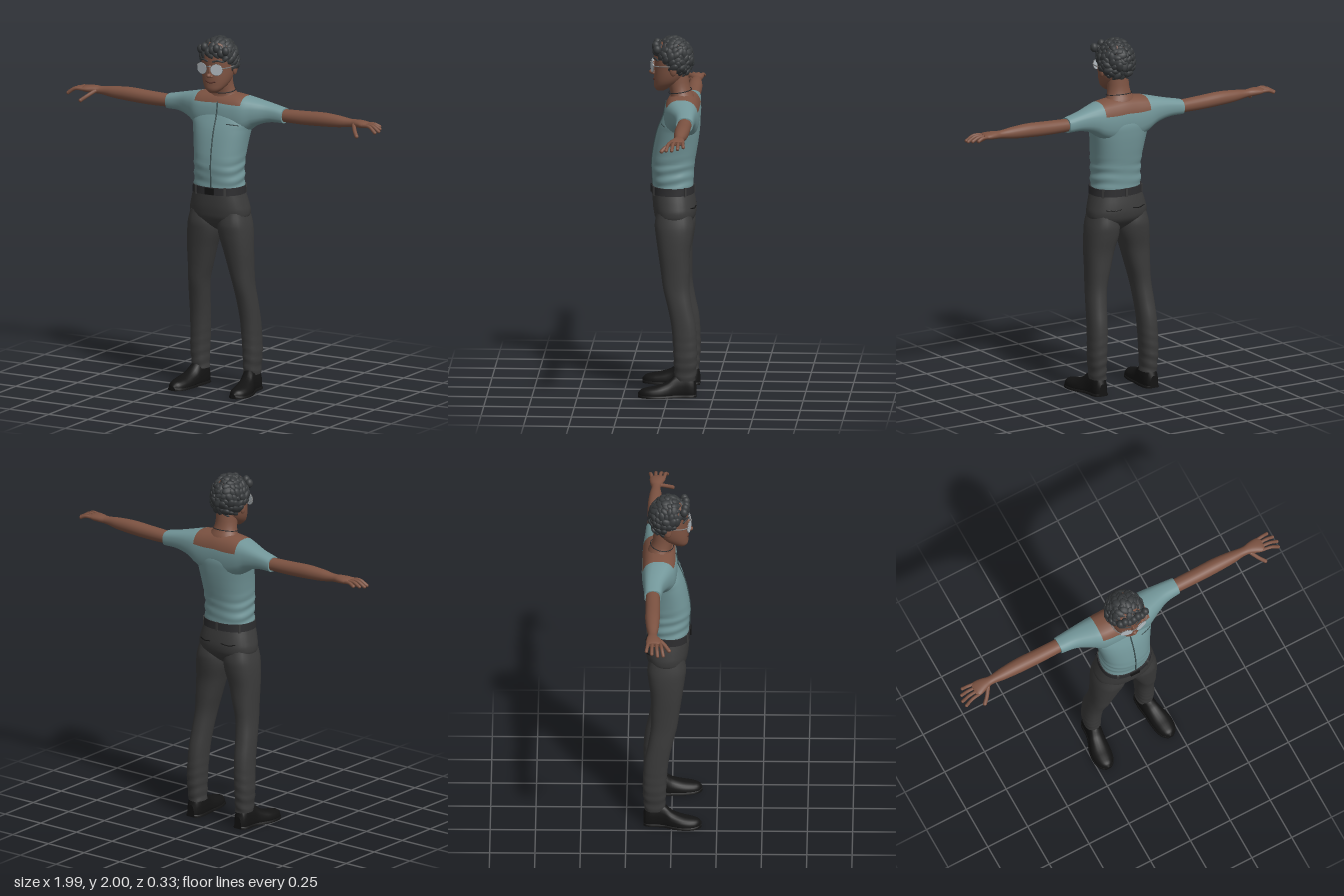
import * as THREE from 'three';
import { mergeGeometries } from 'three/addons/utils/BufferGeometryUtils.js';

const mat = (name, color) => new THREE.MeshStandardMaterial({ name, color });
const V = (x, y, z) => new THREE.Vector3(x, y, z);

// Skin a surface over rounded sections. Rows are [t, u0, u1, v0, v1], t ascending:
// axis x uses (u, v) = (y, z), axis y uses (z, x), axis z uses (x, y).
function loft(axis, rows, { n = 24, p = 0.85, steps = 4, bump = () => 0, pick = () => 0, floor = -1 } = {}) {
  const cubic = new THREE.CubicInterpolant(rows.map(r => r[0]), rows.flatMap(r => r.slice(1)), 4, new Float32Array(4));
  const place = { x: (t, u, v) => [t, u, v], y: (t, u, v) => [v, t, u], z: (t, u, v) => [u, v, t] }[axis];
  const ts = [];
  rows.forEach((r, i) => {
    if (i === rows.length - 1) return ts.push(r[0]);
    for (let k = 0; k < steps; k++) ts.push(r[0] + (rows[i + 1][0] - r[0]) * k / steps);
  });
  const pos = [], lists = [[], []], pw = x => Math.sign(x) * Math.abs(x) ** p;
  const centre = [];
  for (const t of ts) {
    const [u0, u1, v0, v1] = cubic.evaluate(t);
    centre.push(place(t, (u0 + u1) / 2, Math.max(floor, (v0 + v1) / 2)));
    for (let j = 0; j < n; j++) {
      const a = j / n * Math.PI * 2, s = 1 + bump(t, a);
      const u = (u0 + u1) / 2 + (u1 - u0) / 2 * pw(Math.cos(a)) * s;
      const v = (v0 + v1) / 2 + (v1 - v0) / 2 * pw(Math.sin(a)) * s;
      pos.push(...place(t, u, Math.max(floor, v)));
    }
  }
  for (let i = 0; i < ts.length - 1; i++) for (let j = 0; j < n; j++) {
    const a = i * n + j, b = i * n + (j + 1) % n;
    const mid = (j + 0.5) / n * 360;
    lists[pick((ts[i] + ts[i + 1]) / 2, mid > 180 ? mid - 360 : mid)].push(a, b, b + n, a, b + n, a + n);
  }
  // end caps with their own corners
  for (const end of [0, ts.length - 1]) {
    const base = pos.length / 3;
    pos.push(...pos.slice(end * n * 3, (end + 1) * n * 3), ...centre[end]);
    for (let j = 0; j < n; j++) {
      const a = base + j, b = base + (j + 1) % n;
      lists[0].push(...(end ? [a, b, base + n] : [b, a, base + n]));
    }
  }
  const g = new THREE.BufferGeometry();
  g.setAttribute('position', new THREE.Float32BufferAttribute(pos, 3));
  g.setIndex([...lists[0], ...lists[1]]);
  if (lists[1].length) {
    g.addGroup(0, lists[0].length, 0);
    g.addGroup(lists[0].length, lists[1].length, 1);
  }
  g.computeVertexNormals();
  return g;
}
// Rows symmetric about x = 0: [y, zBack, zFront, halfWidth]
const sym = rows => rows.map(([y, b, f, w]) => [y, b, f, -w, w]);

function mirrored(geo) {
  const g = geo.clone().scale(-1, 1, 1), ix = g.index.array;
  for (let i = 0; i < ix.length; i += 3) [ix[i], ix[i + 1]] = [ix[i + 1], ix[i]];
  return g;
}
const ball = (c, sx, sy, sz) => new THREE.SphereGeometry(1, 16, 12).scale(sx, sy, sz).translate(...c);
// Round-ended tube through points
function cord(points, r, seg = 12) {
  const pts = points.map(q => V(...q));
  const tube = new THREE.TubeGeometry(new THREE.CatmullRomCurve3(pts), seg, r, 8);
  return mergeGeometries([tube, ball(points[0], r, r, r), ball(points.at(-1), r, r, r)]);
}

export function createModel() {
  const model = new THREE.Group();
  model.name = 'standingMan';
  const skin = mat('skin', 0x7d5342), shirt = mat('shirt', 0x73979a), cloth = mat('trousers', 0x3a3a3a);
  const hair = mat('hair', 0x36393b), black = mat('shoeBlack', 0x131313), leather = mat('beltLeather', 0x2c2c2e);
  const lensMat = mat('lens', 0xb4bcc2), metal = mat('frameMetal', 0x7b7b7b);
  const seam = mat('seam', 0x3c5052), lip = mat('lips', 0x59342b);
  const add = (name, geo, m) => {
    const mesh = new THREE.Mesh(geo, m);
    mesh.name = name;
    model.add(mesh);
  };
  const pair = (name, geo, m) => {
    add(name + 'Left', geo, m);
    add(name + 'Right', mirrored(geo), m);
  };

  // Shirt body, creased around the waist
  add('shirtBody', loft('y', sym([
    [1.155, -.128, .095, .142], [1.2, -.13, .095, .142], [1.25, -.132, .1, .14], [1.3, -.138, .1, .142],
    [1.4, -.155, .085, .155], [1.48, -.165, .065, .17], [1.53, -.166, .045, .18], [1.57, -.155, .025, .15],
    [1.6, -.14, 0, .11]]), {
    n: 40, steps: 6,
    bump: (y, a) => y < 1.36 ? 0.022 * Math.sin(y * 105 + 1.6 * Math.sin(a * 2)) * Math.min(1, (1.36 - y) * 12) * (0.35 + 0.65 * Math.abs(Math.sin(a))) : 0
  }), shirt);

  // Shoulders and sleeves, with the open neckline in skin
  const half = [[.07, 1.43, 1.675, -.165, .03], [.145, 1.46, 1.665, -.163, .02], [.2, 1.5, 1.652, -.158, -.005],
    [.28, 1.527, 1.633, -.152, -.04], [.37, 1.53, 1.613, -.148, -.055]];
  const flip = half.map(([x, ...r]) => [-x, ...r]).reverse();
  add('shoulders', loft('x', [...flip, [0, 1.43, 1.68, -.165, .031], ...half], {
    p: 0.8, pick: (x, deg) => Math.abs(x) < .145 && deg > -75 && deg < 60 ? 1 : 0
  }), [shirt, skin]);
  add('placket', cord([[.01, 1.16, .096], [.01, 1.25, .1], [.01, 1.3, .1], [.01, 1.4, .086], [.01, 1.48, .066],
    [.01, 1.53, .046], [.01, 1.57, .033], [.01, 1.63, .023]], .004, 30), seam);
  add('pocketEdge', cord([[.08, 1.518, .044], [.115, 1.515, .034], [.14, 1.512, .021]], .003), seam);

  // Trousers
  add('hips', loft('y', sym([[.91, -.06, .01, .03], [.94, -.1, .05, .1], [.98, -.135, .08, .165],
    [1.02, -.145, .09, .175], [1.06, -.143, .095, .167], [1.13, -.13, .097, .147]]), { n: 32 }), cloth);
  pair('trouserLeg', loft('y', [
    [.09, -.15, -.04, .118, .208], [.12, -.152, -.035, .12, .208], [.2, -.158, -.03, .118, .215],
    [.3, -.158, -.025, .113, .213], [.4, -.15, -.015, .108, .21], [.5, -.13, .005, .1, .205],
    [.6, -.115, .03, .088, .197], [.7, -.115, .045, .062, .195], [.8, -.117, .06, .035, .195],
    [.9, -.132, .075, .006, .19], [.95, -.135, .08, .005, .183], [1.02, -.12, .07, .02, .165]], {
    steps: 6, bump: (y, a) => y < .38 ? .035 * Math.sin(y * 110 + 2 * Math.sin(a)) * Math.min(1, (.38 - y) * 5) : 0
  }), cloth);
  pair('backPocket', cord([[.04, 1.05, -.144], [.08, 1.045, -.139], [.12, 1.05, -.122]], .003), black);

  // Belt, loops and buckle
  add('belt', loft('y', sym([[1.12, -.136, .102, .152], [1.162, -.134, .102, .149]]), { n: 32, steps: 1 }), leather);
  add('buckle', new THREE.BoxGeometry(.055, .036, .012).translate(.004, 1.141, .102), black);
  for (const a of [.6, 2.2, Math.PI, 4.08, 5.68]) {
    const x = .15 * Math.sign(Math.sin(a)) * Math.abs(Math.sin(a)) ** .85;
    const z = -.016 + .119 * Math.sign(Math.cos(a)) * Math.abs(Math.cos(a)) ** .85;
    add('beltLoop', new THREE.BoxGeometry(.012, .05, .008).rotateY(a).translate(x, 1.14, z), cloth);
  }

  // Shoes: rows of [z, centre x, half width, height]
  const shoe = [[-.155, .165, .022, .07], [-.14, .165, .036, .11], [-.08, .165, .043, .13], [-.04, .17, .044, .122],
    [0, .18, .05, .088], [.06, .19, .056, .064], [.12, .194, .047, .052], [.15, .194, .03, .042], [.165, .194, .01, .026]];
  pair('shoe', loft('z', shoe.map(([z, x, w, h]) => [z, x - w, x + w, -h * .5, h]), { floor: .01, p: .9 }), black);
  pair('sole', loft('z', shoe.map(([z, x, w]) => [z, x - w - .005, x + w + .005, -.018, .018]), { floor: 0, p: .6 }), black);

  // Arms with palms, then fingers and thumbs
  pair('arm', loft('x', [[.35, 1.537, 1.607, -.14, -.063], [.5, 1.536, 1.613, -.14, -.06], [.62, 1.541, 1.618, -.14, -.06],
    [.72, 1.548, 1.612, -.132, -.065], [.8, 1.56, 1.603, -.122, -.072], [.84, 1.562, 1.605, -.13, -.06],
    [.89, 1.567, 1.6, -.132, -.045], [.905, 1.573, 1.594, -.126, -.05]], { p: .95 }), skin);
  const tips = [[.955, 1.573, -.13], [.975, 1.567, -.1], [.985, 1.56, -.068], [.978, 1.558, -.037]];
  tips.forEach(([x, y, z], i) => {
    const z0 = -.121 + i * .022;
    pair('finger', cord([[.885, 1.584, z0], [(x + .9) / 2, 1.584, (z + z0) / 2], [x, y, z]], .0095), skin);
  });
  pair('thumb', cord([[.825, 1.578, -.07], [.855, 1.553, -.03], [.88, 1.532, -.006]], .011), skin);

  // Neck and thin neck chain
  add('neck', loft('y', sym([[1.63, -.14, .01, .12], [1.665, -.13, -.002, .085], [1.7, -.112, .004, .067],
    [1.79, -.1, .03, .06]]), { p: 1 }), skin);
  add('neckChain', new THREE.TorusGeometry(1, .035, 6, 40).rotateX(Math.PI / 2).scale(.074, .074, .064)
    .rotateX(.15).translate(0, 1.69, -.055), leather);

  // Head and face
  add('head', loft('y', sym([[1.692, .03, .075, .022], [1.71, 0, .088, .047], [1.74, -.05, .09, .07],
    [1.78, -.085, .089, .084], [1.83, -.1, .086, .09], [1.88, -.11, .089, .092], [1.93, -.108, .083, .086],
    [1.97, -.075, .05, .058]]), { n: 32, p: .95 }), skin);
  add('nose', mergeGeometries([ball([0, 1.795, .097], .014, .014, .02),
    ball([0, 1.82, .088], .01, .035, .016), ball([.011, 1.79, .09], .009, .009, .012),
    ball([-.011, 1.79, .09], .009, .009, .012)]), skin);
  pair('ear', ball([.095, 1.82, -.022], .011, .032, .02), skin);
  add('mouth', cord([[-.03, 1.76, .081], [0, 1.754, .09], [.03, 1.76, .081]], .005), lip);
  pair('eyebrow', cord([[.018, 1.874, .089], [.045, 1.88, .082], [.072, 1.872, .064]], .005), hair);

  // Spectacles
  const turn = g => g.rotateY(.25).translate(.046, 1.832, .096);
  pair('lens', turn(new THREE.CylinderGeometry(1, 1, .006, 28).rotateX(Math.PI / 2).scale(.034, .031, 1)), lensMat);
  pair('lensRim', turn(new THREE.TorusGeometry(1, .07, 6, 32).scale(.034, .031, .03)), metal);
  add('bridge', cord([[-.015, 1.846, .103], [0, 1.85, .108], [.015, 1.846, .103]], .003), metal);
  pair('templeArm', cord([[.078, 1.842, .088], [.095, 1.842, .06], [.1, 1.842, -.02]], .003), metal);

  // Hair: a tilted cap covered in overlapping locks
  const centre = V(0, 1.868, -.015), radii = V(.098, .114, .103), tilt = -.65;
  add('hairCap', new THREE.SphereGeometry(1, 32, 16, 0, Math.PI * 2, 0, Math.PI * .6).rotateX(tilt)
    .scale(...radii).translate(...centre), hair);
  let seed = 7;
  const rnd = () => (seed = (seed * 16807) % 2147483647) / 2147483647;
  const locks = [], count = 110;
  for (let i = 0; i < count; i++) {
    const c = 1 - 1.29 * (i + .5) / count, s = Math.sqrt(1 - c * c), a = i * 2.39996;
    const d = V(s * Math.cos(a), c, s * Math.sin(a)).applyAxisAngle(V(1, 0, 0), tilt);
    const size = .75 + rnd() * .5;
    const g = new THREE.SphereGeometry(1, 10, 8).scale(.019 * size, .029 * size, .013 * size);
    g.rotateX(.3).rotateZ((rnd() - .5) * 2.2);
    g.applyQuaternion(new THREE.Quaternion().setFromUnitVectors(V(0, 0, 1), d));
    locks.push(g.translate(...d.clone().multiply(radii).add(centre)));
  }
  // raised fringe swept to one side
  for (let i = 0; i < 7; i++)
    locks.push(ball([-.07 + i * .026, 1.935 + .015 * Math.sin(i * 2.1), .078 - .0012 * (i - 3) ** 2], .021, .026, .022));
  add('hairLocks', mergeGeometries(locks), hair);
  return model;
}
